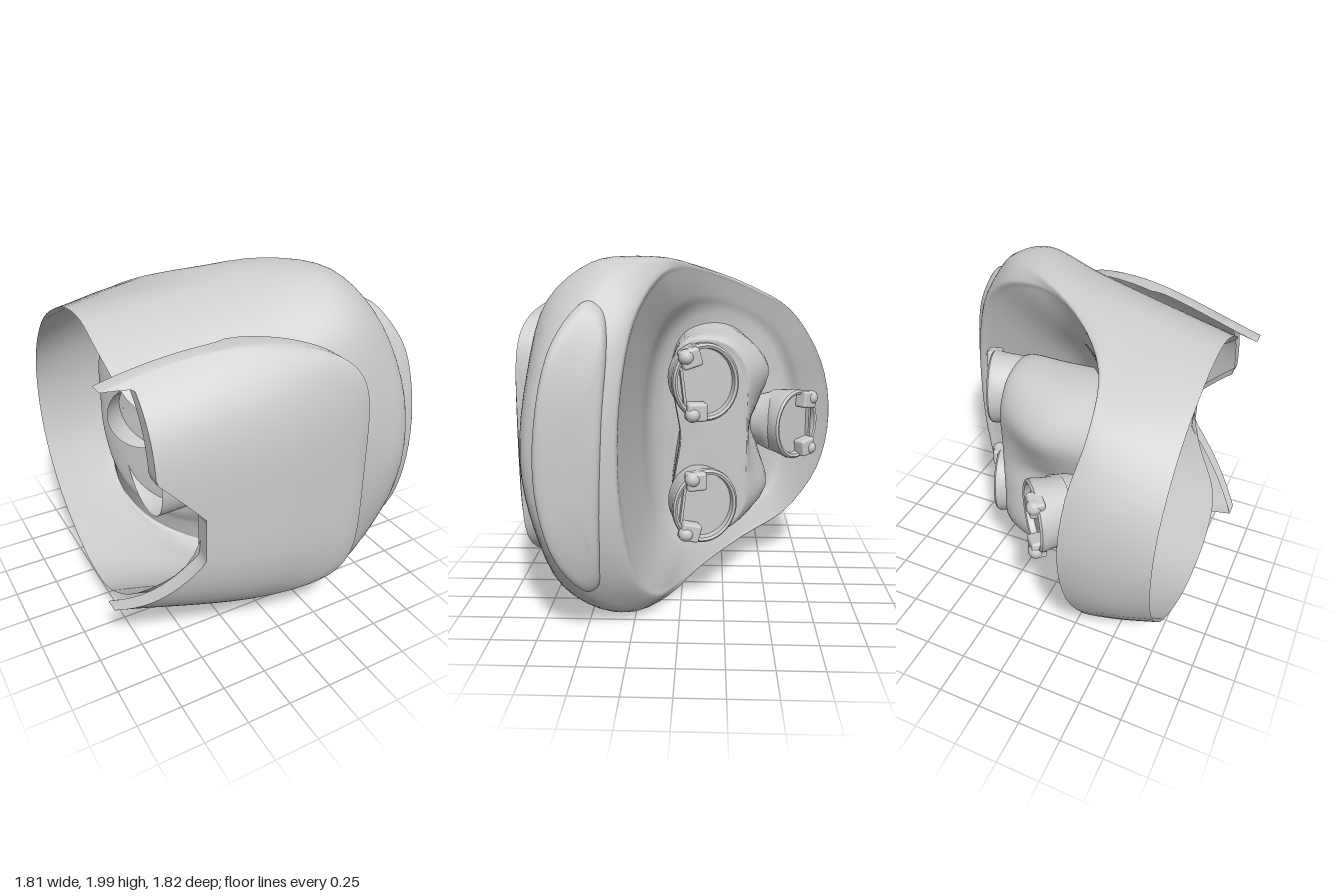
import * as THREE from 'three';
import { mergeVertices, toCreasedNormals } from 'three/addons/utils/BufferGeometryUtils.js';
import { RoundedBoxGeometry } from 'three/addons/geometries/RoundedBoxGeometry.js';

const V = (x, y, z) => new THREE.Vector3(x, y, z);
const mat = new THREE.MeshStandardMaterial({ color: 0xcccccc, side: THREE.DoubleSide });

function add(parent, geo, name) {
  const m = new THREE.Mesh(geo, mat);
  m.name = name;
  parent.add(m);
  return m;
}

// Surface from a grid of points fn(i, j)
function grid(fn, nu, nv) {
  const pos = [], idx = [];
  for (let j = 0; j <= nv; j++) for (let i = 0; i <= nu; i++) pos.push(...fn(i, j).toArray());
  for (let j = 0; j < nv; j++) for (let i = 0; i < nu; i++) {
    const a = j * (nu + 1) + i, b = a + nu + 1;
    idx.push(a, a + 1, b, b, a + 1, b + 1);
  }
  let g = new THREE.BufferGeometry();
  g.setAttribute('position', new THREE.Float32BufferAttribute(pos, 3));
  g.setIndex(idx);
  g = mergeVertices(g, 1e-5);
  g.computeVertexNormals();
  return g;
}

// Smooth loft through closed rings of equal point count
function loft(rings, nu, nv) {
  const loops = rings.map(r => new THREE.CatmullRomCurve3(r, true));
  const cols = [];
  for (let i = 0; i <= nu; i++) {
    cols.push(new THREE.CatmullRomCurve3(loops.map(l => l.getPoint((i % nu) / nu))));
  }
  return grid((i, j) => cols[i].getPoint(j / nv), nu, nv);
}

// Complete a half ring by mirroring it across y = 1
function ring(half) {
  const p = half.map(a => V(...a));
  return [...p, ...p.slice(1, -1).reverse().map(q => V(q.x, 2 - q.y, q.z))];
}

const mix = (ra, rb, t) => ra.map((p, i) => p.clone().lerp(rb[i], t));
const toPoint = (r, c) => r.map(() => c.clone());

function shell() {
  const start = ring([[-.5, 1, .8], [-.58, 1.33, .74], [-.77, 1.58, .54], [-.81, 1.74, .3], [-.81, 1.82, .1],
    [-.81, 1.82, -.1], [-.81, 1.74, -.34], [-.81, 1.58, -.6], [-.81, 1.3, -.81], [-.81, 1, -.87]]);
  const middle = ring([[0, 1, .85], [0, 1.4, .79], [0, 1.7, .63], [0, 1.88, .42], [-.1, 1.94, .2],
    [-.35, 1.9, -.03], [-.52, 1.79, -.36], [-.6, 1.63, -.63], [-.58, 1.34, -.84], [-.56, 1, -.9]]);
  const shoulder = ring([[.5, 1, .83], [.5, 1.42, .79], [.45, 1.78, .68], [.38, 1.965, .46], [.25, 1.995, .25],
    [-.13, 1.94, -.06], [-.36, 1.81, -.38], [-.43, 1.65, -.66], [-.42, 1.35, -.85], [-.42, 1, -.91]]);
  const corner = ring([[.8, 1, .75], [.78, 1.39, .68], [.67, 1.75, .52], [.52, 1.94, .3], [.25, 1.985, .1],
    [-.11, 1.92, -.12], [-.33, 1.81, -.4], [-.39, 1.655, -.66], [-.36, 1.35, -.85], [-.34, 1, -.91]]);
  const rim = ring([[.8, 1, .31], [.77, 1.36, .29], [.66, 1.69, .23], [.45, 1.88, .13], [.15, 1.94, .02],
    [-.12, 1.9, -.16], [-.32, 1.8, -.4], [-.39, 1.65, -.66], [-.35, 1.35, -.85], [-.33, 1, -.91]]);
  const floor = ring([[.02, 1, .16], [.01, 1.22, .15], [-.02, 1.43, .11], [-.08, 1.57, .03], [-.17, 1.64, -.09],
    [-.27, 1.65, -.23], [-.38, 1.58, -.4], [-.44, 1.45, -.54], [-.47, 1.23, -.63], [-.47, 1, -.65]]);
  // Outer wall, rounded lip, then the hollow dish
  return loft([start, middle, shoulder, corner, rim, mix(rim, floor, .1), mix(rim, floor, .6), floor,
    toPoint(floor, V(-.27, 1, -.22))], 72, 64);
}

function hub() {
  const face = ring([[.26, 1, 0], [.26, 1.2, .03], [.26, 1.4, .05], [.26, 1.53, -.02], [.26, 1.56, -.14],
    [.26, 1.52, -.28], [.26, 1.38, -.37], [.26, 1.18, -.37], [.26, 1, -.37]]);
  const waist = ring([[0, 1, .01], [0, 1.2, .04], [0, 1.4, .06], [0, 1.54, -.01], [0, 1.58, -.15],
    [0, 1.54, -.34], [0, 1.36, -.5], [0, 1.15, -.44], [0, 1, -.39]]);
  const foot = ring([[-.4, 1, .05], [-.4, 1.22, .07], [-.4, 1.42, .07], [-.4, 1.55, 0], [-.4, 1.6, -.15],
    [-.4, 1.54, -.33], [-.4, 1.36, -.46], [-.4, 1.16, -.46], [-.4, 1, -.46]]);
  const c = V(.275, 1, -.16);
  return toCreasedNormals(loft([foot, waist, face, mix(face, toPoint(face, c), .08), toPoint(face, c)], 64, 20), .9);
}

// Finger socket: cup with raised rim, recessed plate, bar and two clips, facing +x
function socket(name, pos, turn, flip, tilt) {
  const g = new THREE.Group();
  g.name = name;
  const profile = [[.19, -.17], [.203, -.06], [.212, -.02], [.21, .005], [.198, .016], [.183, .01], [.178, -.025], [0, -.025]]
    .map(a => new THREE.Vector2(...a));
  const cup = new THREE.LatheGeometry(profile, 36).rotateZ(-Math.PI / 2).scale(1, 1, .87);
  add(g, toCreasedNormals(cup, .6), 'socketCup');
  add(g, new THREE.BoxGeometry(.03, .24, .015), 'socketBar').position.set(-.015, 0, .125);
  for (const s of [-1, 1]) {
    const clip = add(g, new RoundedBoxGeometry(.08, .1, .11, 3, .015), 'clip');
    clip.position.set(.01, s * .145, .075);
    clip.rotation.x = s * .15;
    add(g, new THREE.SphereGeometry(.042, 14, 10), 'clipKnob').position.set(.025, s * .155, .1);
  }
  g.position.set(...pos);
  g.rotation.set(flip ? Math.PI : tilt, turn, 0, 'YXZ');
  return g;
}

// Notched left edge of the front plate, as [v, x] stops
const notch = [[-1, -.91], [-.36, -.52], [0, -.52], [.36, -.75], [.95, -.75], [1, -.9]];
function notchX(v) {
  const k = Math.max(1, notch.findIndex(n => n[0] >= v - 1e-9));
  const [v0, x0] = notch[k - 1], [v1, x1] = notch[k];
  return x0 + (x1 - x0) * (v - v0) / (v1 - v0);
}

function frontPlate() {
  const nu = 26, nv = 64;
  const clamp = THREE.MathUtils.clamp;
  return toCreasedNormals(grid((i, j) => {
    const s = clamp((i - 1) / (nu - 2), 0, 1);
    const t = clamp((j - 1) / (nv - 2), 0, 1) * 2 - 1;
    const v = Math.sin(t * Math.PI / 2);
    const av = Math.abs(v);
    // Rounded right end
    const x1 = -.25 + .66 * Math.max(0, 1 - av ** 5.5) ** .4545;
    const x0 = notchX(v), x = x0 + (x1 - x0) * s;
    const y = 1 + v * (.64 + .14 * Math.sin(clamp((x + .9) / .8, 0, 1) * Math.PI / 2));
    const mid = .91 - .17 * Math.max(0, -.05 - x) ** 1.4;
    const edge = .545 + .33 * clamp((x + .9) / 1.3, 0, 1) ** 1.6;
    let z = mid - (mid - edge) * av ** 3.8 - .03 * s ** 14;
    // Outermost rows fold back as the plate's edge
    if (i === 0 || i === nu || j === 0 || j === nv) z -= .085;
    return V(x, y, z);
  }, nu, nv), .9);
}

function sidePad() {
  const outline = [[.44, 1.79], [.37, 1.75], [.34, 1.62], [.365, 1.2], [.385, .8], [.4, .45], [.42, .3], [.47, .27],
    [.55, .35], [.64, .55], [.7, .85], [.69, 1.2], [.62, 1.55], [.52, 1.73]];
  const layer = (scale, drop) => outline.map(([z, y]) => {
    const zz = .53 + (z - .53) * scale, yy = 1.03 + (y - 1.03) * scale;
    return V(.905 - .3 * Math.abs(yy - 1) ** 3 - .22 * Math.abs(.65 - zz) - drop, yy, zz);
  });
  return loft([layer(.96, .16), layer(1, .05), layer(.97, .015), layer(.85, 0), layer(.45, 0), layer(0, 0)], 56, 20);
}

export function createModel() {
  const model = new THREE.Group();
  model.name = 'palmShell';
  add(model, shell(), 'shell');
  add(model, frontPlate(), 'frontPlate');
  add(model, sidePad(), 'sidePad');
  add(model, hub(), 'knuckleHub');

  // Thumb stem with a wide collar
  const stemProfile = [[.22, -.36], [.165, -.2], [.155, -.12], [.185, -.03], [.175, .02], [0, .03]]
    .map(a => new THREE.Vector2(...a));
  const stem = add(model, new THREE.LatheGeometry(stemProfile, 32), 'thumbStem');
  stem.position.set(-.18, 1, -.58);
  stem.quaternion.setFromUnitVectors(V(0, 1, 0), V(.47, 0, -.88).normalize());

  model.add(socket('upperSocket', [.42, 1.345, -.14], .31, false, .12));
  model.add(socket('lowerSocket', [.42, .655, -.14], .31, false, -.12));
  model.add(socket('thumbSocket', [-.09, 1, -.68], .75, true, 0));
  return model;
}
